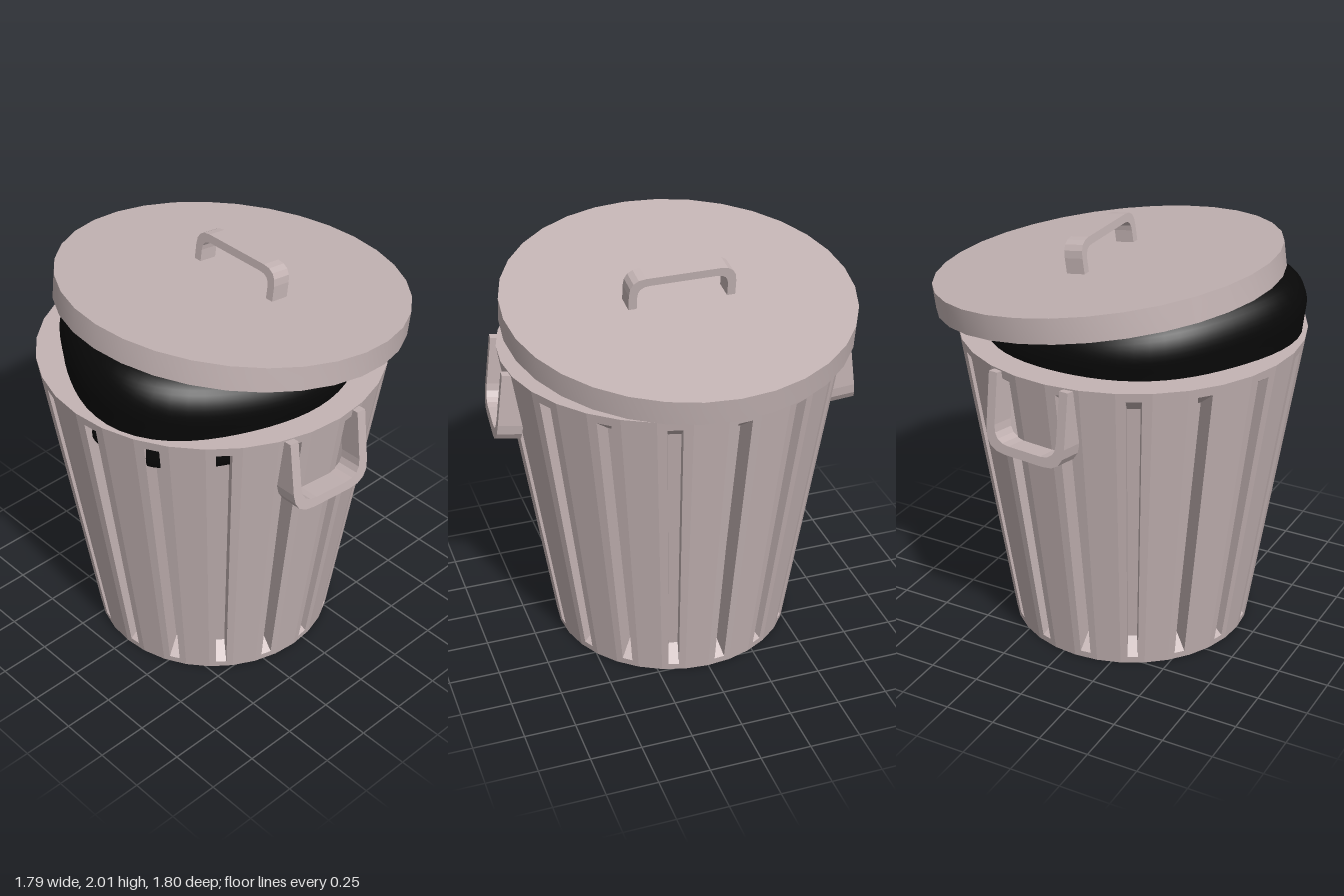
import * as THREE from 'three';
import { toCreasedNormals } from 'three/addons/utils/BufferGeometryUtils.js';

const SIDES = 32;
const HEIGHT = 1.56;
const CENTRE_Z = 0.065;

const metal = new THREE.MeshStandardMaterial({ color: 0xc4b4b4, flatShading: true });
const smoothMetal = new THREE.MeshStandardMaterial({ color: 0xc4b4b4 });
const black = new THREE.MeshStandardMaterial({ color: 0x080808 });

function named(name, geometry, material) {
  const mesh = new THREE.Mesh(geometry, material);
  mesh.name = name;
  return mesh;
}

// Tapered can; every second facet has a recessed slot with sloping ends
function canGeometry() {
  const positions = [];
  const tri = (...pts) => pts.forEach((p) => positions.push(p.x, p.y, p.z));
  const quad = (a, b, c, d) => { tri(a, b, c); tri(a, c, d); };
  const corner = (k, y, depth) => {
    const a = (k / SIDES) * Math.PI * 2;
    const r = 0.595 + (0.235 * y) / HEIGHT - depth;
    return new THREE.Vector3(r * Math.sin(a), y, r * Math.cos(a));
  };
  const [s0, s1] = [0.28, 0.72];
  const [y0, y1] = [0.035, 1.515];

  for (let k = 0; k < SIDES; k++) {
    const at = (f, y, depth = 0) => corner(k, y, depth).lerp(corner(k + 1, y, depth), f);
    const panel = (f0, f1, ya, yb) => quad(at(f0, ya), at(f1, ya), at(f1, yb), at(f0, yb));

    tri(new THREE.Vector3(0, HEIGHT, 0), at(0, HEIGHT), at(1, HEIGHT));
    tri(new THREE.Vector3(0, 0, 0), at(1, 0), at(0, 0));
    if (k % 2) {
      panel(0, 1, 0, HEIGHT);
      continue;
    }
    panel(0, s0, 0, HEIGHT);
    panel(s1, 1, 0, HEIGHT);
    panel(s0, s1, 0, y0);
    panel(s0, s1, y1, HEIGHT);

    // Slot rim, its inner outline, and the walls joining them
    const outer = [at(s0, y0), at(s1, y0), at(s1, y1), at(s0, y1)];
    const inner = [[s0, 0.1], [s1, 0.1], [s1, 1.43], [s0, 1.43]].map(([f, y]) => at(f, y, 0.1));
    quad(...inner);
    for (let i = 0; i < 4; i++) {
      const j = (i + 1) % 4;
      quad(outer[i], outer[j], inner[j], inner[i]);
    }
  }
  const geometry = new THREE.BufferGeometry();
  geometry.setAttribute('position', new THREE.Float32BufferAttribute(positions, 3));
  geometry.computeVertexNormals();
  return geometry;
}

// Flat strap bent into an arch with rounded corners, standing on y = 0
function strapGeometry(w, h, t, radius, depth) {
  const s = new THREE.Shape();
  const wi = w - t, hi = h - t, ri = radius - t * 0.6;
  s.moveTo(w, 0);
  s.lineTo(w, h - radius);
  s.quadraticCurveTo(w, h, w - radius, h);
  s.lineTo(radius - w, h);
  s.quadraticCurveTo(-w, h, -w, h - radius);
  s.lineTo(-w, 0);
  s.lineTo(-wi, 0);
  s.lineTo(-wi, hi - ri);
  s.quadraticCurveTo(-wi, hi, ri - wi, hi);
  s.lineTo(wi - ri, hi);
  s.quadraticCurveTo(wi, hi, wi, hi - ri);
  s.lineTo(wi, 0);
  s.closePath();
  const g = new THREE.ExtrudeGeometry(s, { depth, bevelEnabled: false, curveSegments: 4 });
  return g.translate(0, 0, -depth / 2);
}

// Lumpy sack: a lathe bulging to the front left and squeezed under the lid
function bagGeometry() {
  const profile = [[0, 1.36], [0.6, 1.36], [0.92, 1.38], [0.985, 1.42], [0.98, 1.5], [0.99, 1.6],
    [1, 1.69], [0.97, 1.77], [0.9, 1.83], [0.78, 1.86], [0.4, 1.87], [0, 1.87]];
  const curve = new THREE.SplineCurve(profile.map(([r, y]) => new THREE.Vector2(r, y)));
  const points = curve.getPoints(36);
  points.forEach((p) => { p.x = Math.max(p.x, 0); });
  points[0].x = points[points.length - 1].x = 0;
  const g = new THREE.LatheGeometry(points, 64);
  const pos = g.attributes.position;
  for (let i = 0; i < pos.count; i++) {
    const x = pos.getX(i), y = pos.getY(i), z = pos.getZ(i);
    const a = Math.atan2(x, z);
    const bump = Math.exp(-(((a - 0.38) / 0.66) ** 2));
    const r = 0.7 + 0.11 * bump + 0.008 * Math.sin(5 * a);
    const top = 1.765 + 0.145 * z * r;
    const squeeze = y > 1.36 ? (top - 1.36) / 0.5 : 1;
    pos.setXYZ(i, x * r, 1.36 + (y - 1.36) * squeeze, z * r);
  }
  return toCreasedNormals(g, 1.2);
}

export function createModel() {
  const model = new THREE.Group();
  model.name = 'trashCan';

  // Can, bag and side handles share one upright axis
  const can = new THREE.Group();
  can.name = 'can';
  can.position.z = CENTRE_Z;
  can.add(named('canBody', canGeometry(), metal));
  can.add(named('trashBag', bagGeometry(), black));

  const sideStrap = strapGeometry(0.215, 0.375, 0.045, 0.11, 0.12);
  for (const [name, turn] of [['leftHandle', 0], ['rightHandle', Math.PI]]) {
    const holder = new THREE.Group();
    holder.name = name;
    holder.rotation.y = Math.PI / 2 - Math.PI / SIDES + turn;
    const strap = named(name + 'Strap', sideStrap, metal);
    strap.position.set(0, 1.55, 0.78);
    strap.rotation.set(-0.125, 0, Math.PI);
    holder.add(strap);
    can.add(holder);
  }
  model.add(can);

  // Tilted lid with a hollow underside and a grip on top
  const lid = new THREE.Group();
  lid.name = 'lid';
  lid.position.set(0, 1.85, -0.073);
  lid.rotation.x = -0.144;
  const section = [[0, -0.05], [0.745, -0.05], [0.745, -0.12], [0.836, -0.12], [0.836, 0], [0, 0]]
    .map(([r, y]) => new THREE.Vector2(r, y));
  lid.add(named('lidDisc', toCreasedNormals(new THREE.LatheGeometry(section, SIDES), 0.5), smoothMetal));
  const grip = named('lidHandle', strapGeometry(0.26, 0.165, 0.04, 0.08, 0.095), metal);
  grip.position.set(0.01, -0.01, -0.03);
  lid.add(grip);
  model.add(lid);

  return model;
}
